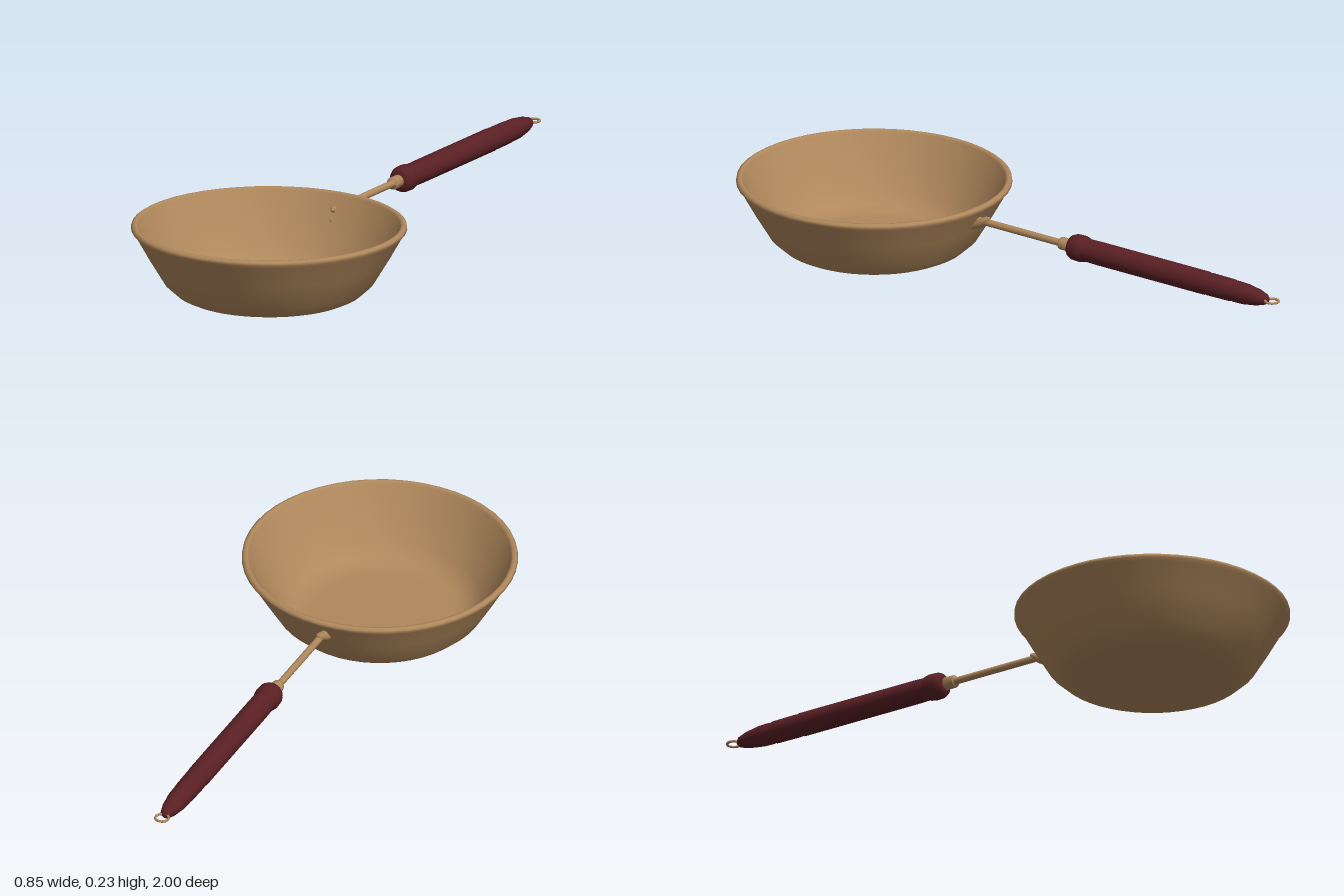
import * as THREE from 'three';

const copper = new THREE.MeshStandardMaterial({ color: 0xb0885c });
copper.name = 'copper';
const darkWood = new THREE.MeshStandardMaterial({ color: 0x5a2024 });
darkWood.name = 'darkWood';

const HANDLE_X = -0.005, HANDLE_Y = 0.18;

function lathe(name, profile, segments, material) {
  const points = profile.map(([r, h]) => new THREE.Vector2(r, h));
  const mesh = new THREE.Mesh(new THREE.LatheGeometry(points, segments), material);
  mesh.name = name;
  return mesh;
}

// Turned part lying along -z; each profile point is [radius, z], front to back
function turned(name, profile, segments, material) {
  const mesh = lathe(name, profile.map(([r, z]) => [r, -z]), segments, material);
  mesh.geometry.rotateX(-Math.PI / 2);
  mesh.position.set(HANDLE_X, HANDLE_Y, 0);
  return mesh;
}

export function createModel() {
  const group = new THREE.Group();
  group.name = 'fryingPan';

  // Bowl: underside, flared outer wall, rim, inner wall and cooking floor
  const bowl = lathe('bowl', [
    [0, 0.003], [0.24, 0.003], [0.265, 0.008], [0.29, 0.02], [0.325, 0.052],
    [0.375, 0.135], [0.416, 0.208], [0.425, 0.217], [0.424, 0.226], [0.417, 0.231],
    [0.409, 0.231], [0.404, 0.224], [0.365, 0.145], [0.312, 0.062], [0.28, 0.034],
    [0.25, 0.022], [0.21, 0.018], [0, 0.018],
  ], 48, copper);
  bowl.position.z = 0.572;
  group.add(bowl);

  // Rod with a flared foot against the wall and a socket at the grip
  group.add(turned('rod', [
    [0, 0.2], [0.011, 0.19], [0.011, -0.152], [0.019, -0.153], [0.02, -0.157],
    [0.02, -0.2], [0, -0.2],
  ], 12, copper));
  const foot = new THREE.Mesh(new THREE.SphereGeometry(1, 12, 8), copper);
  foot.name = 'rodFoot';
  foot.scale.set(0.017, 0.014, 0.05);
  foot.rotation.x = 0.55;
  foot.position.set(HANDLE_X, 0.171, 0.165);
  group.add(foot);

  // Wooden grip with a raised collar, shallow grooves and a tapered end
  group.add(turned('grip', [
    [0, -0.189], [0.024, -0.19], [0.036, -0.198], [0.041, -0.21], [0.042, -0.235],
    [0.039, -0.25], [0.036, -0.256], [0.037, -0.3], [0.037, -0.72], [0.034, -0.728],
    [0.036, -0.738], [0.035, -0.82], [0.032, -0.828], [0.034, -0.838], [0.033, -0.87],
    [0.026, -0.92], [0.017, -0.95], [0.008, -0.96], [0, -0.961],
  ], 20, darkWood));

  // Hanging ring
  const ring = new THREE.Mesh(new THREE.TorusGeometry(0.021, 0.004, 8, 20), copper);
  ring.name = 'hangingRing';
  ring.rotation.x = Math.PI / 2;
  ring.position.set(HANDLE_X, HANDLE_Y, -0.975);
  group.add(ring);

  return group;
}
